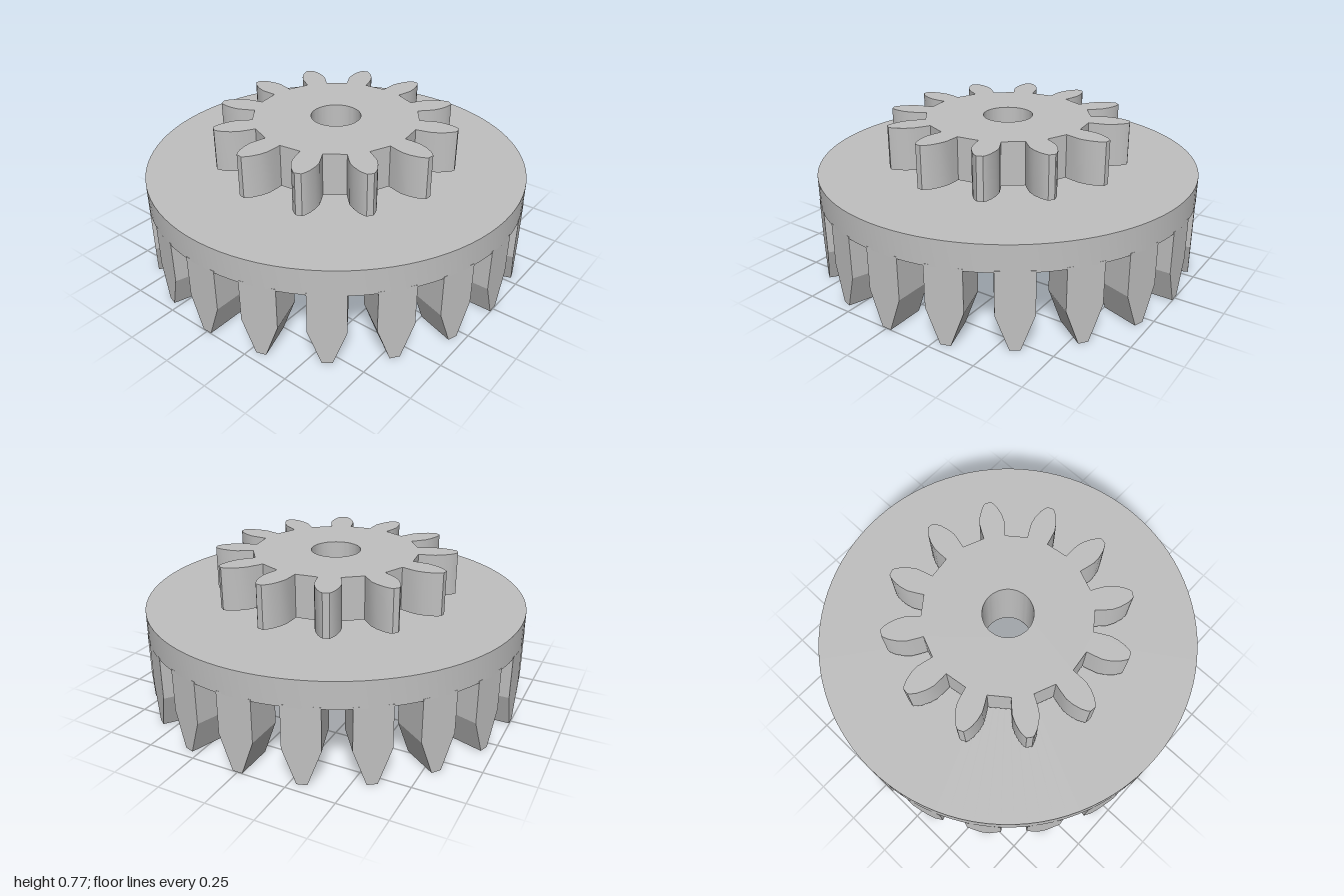
import * as THREE from 'three';
import { toCreasedNormals } from 'three/addons/utils/BufferGeometryUtils.js';

const BORE = 0.13;
const CREASE = Math.PI / 7;

// Solid ring around the y axis with a square cross-section
function ring(outer, y0, y1) {
  const profile = [[BORE, y0], [outer, y0], [outer, y1], [BORE, y1], [BORE, y0]]
    .map(([r, y]) => new THREE.Vector2(r, y));
  return toCreasedNormals(new THREE.LatheGeometry(profile, 96), CREASE);
}

// Spur gear with bulging teeth, lying flat on y = 0
function spurGear(teeth, height) {
  // radius and half width up one flank
  const flank = [[0.434, 0.055], [0.47, 0.06], [0.52, 0.065], [0.56, 0.058],
    [0.6, 0.043], [0.625, 0.027], [0.636, 0.016]];
  const outline = [];
  const add = (r, angle) => outline.push(new THREE.Vector2(r * Math.cos(angle), r * Math.sin(angle)));
  const offset = THREE.MathUtils.degToRad(-7.4);
  for (let i = 0; i < teeth; i++) {
    const a = offset + (i / teeth) * Math.PI * 2;
    flank.forEach(([r, w]) => add(r, a - Math.asin(w / r)));
    [...flank].reverse().forEach(([r, w]) => add(r, a + Math.asin(w / r)));
  }
  const shape = new THREE.Shape(outline);
  shape.holes.push(new THREE.Path().absarc(0, 0, BORE, 0, Math.PI * 2, true));
  const geo = new THREE.ExtrudeGeometry(shape, { depth: height, bevelEnabled: false, curveSegments: 48 });
  return toCreasedNormals(geo.rotateX(-Math.PI / 2), CREASE);
}

// Downward crown tooth: straight sides, then a taper to a narrow tip
function crownTooth() {
  const half = [[0.09, 0.4], [0.09, 0.18], [0.025, 0]];
  const pts = [
    ...half.map(([x, y]) => new THREE.Vector2(-x, y)),
    ...[...half].reverse().map(([x, y]) => new THREE.Vector2(x, y)),
  ];
  const geo = new THREE.ExtrudeGeometry(new THREE.Shape(pts), { depth: 0.198, bevelEnabled: false });
  return geo.translate(0, 0, 0.8);
}

export function createModel() {
  const model = new THREE.Group();
  model.name = 'crownGear';
  const grey = new THREE.MeshStandardMaterial({ color: 0xc0c0c0 });
  grey.name = 'plain grey';

  const part = (name, geometry, parent = model) => {
    const mesh = new THREE.Mesh(geometry, grey);
    mesh.name = name;
    parent.add(mesh);
    return mesh;
  };

  part('disc', ring(1, 0.39, 0.525));
  part('hub', ring(0.27, 0.52, 0.555));
  part('pinion', spurGear(12, 0.225)).position.y = 0.55;

  // Crown teeth around the rim
  const crown = new THREE.Group();
  crown.name = 'crownTeeth';
  model.add(crown);
  const tooth = crownTooth();
  for (let i = 0; i < 20; i++) {
    part('crownTooth', tooth, crown).rotation.y = (i / 20) * Math.PI * 2;
  }
  return model;
}
